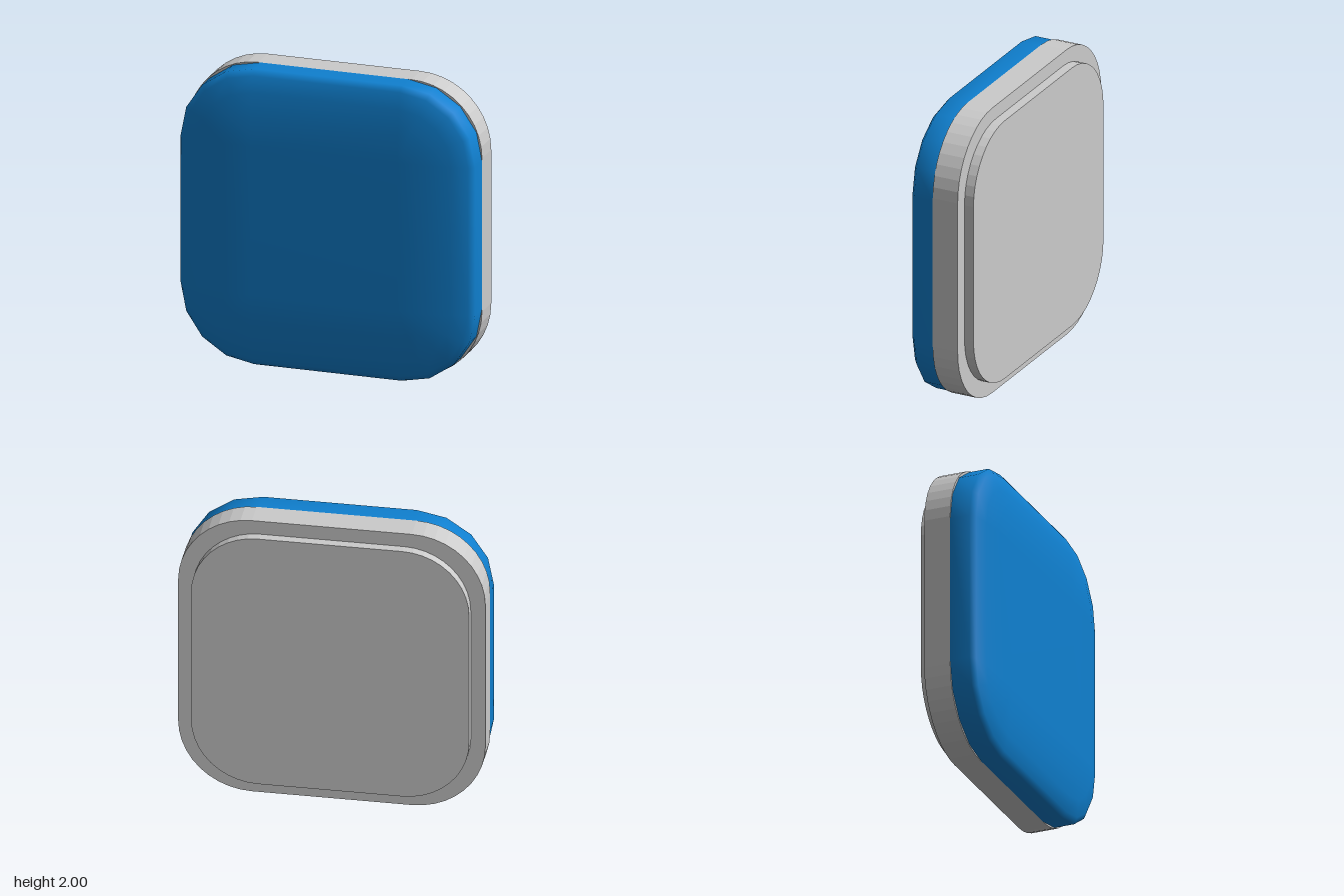
import * as THREE from 'three';
import { mergeVertices } from 'three/addons/utils/BufferGeometryUtils.js';

// Square slab with faceted round corners, from z0 to z1
function slab(name, half, radius, z0, z1, material) {
  const c = half - radius;
  const shape = new THREE.Shape();
  for (let q = 0; q < 4; q++) {
    const cx = q === 0 || q === 3 ? c : -c;
    const cy = q < 2 ? c : -c;
    shape.absarc(cx, cy, radius, q * Math.PI / 2, (q + 1) * Math.PI / 2, false);
  }
  shape.closePath();
  const geometry = new THREE.ExtrudeGeometry(shape, { depth: z1 - z0, bevelEnabled: false, curveSegments: 5 });
  geometry.translate(0, 0, z0);
  const mesh = new THREE.Mesh(geometry, material);
  mesh.name = name;
  return mesh;
}

// Pillow-shaped cover: straight wall, then a shallow elliptical dome edge
function coverGeometry(half, radius, zBack, zRim, zFront, segments) {
  const c = half - radius;
  const rings = [[radius, zBack]];
  for (let k = 0; k <= segments; k++) {
    const a = k / segments * Math.PI / 2;
    rings.push([k === segments ? 0 : radius * Math.cos(a), zRim + (zFront - zRim) * Math.sin(a)]);
  }
  const positions = [], indices = [];
  const count = 4 * (segments + 1);
  for (const [r, z] of rings) {
    for (let q = 0; q < 4; q++) {
      const cx = q === 0 || q === 3 ? c : -c;
      const cy = q < 2 ? c : -c;
      for (let s = 0; s <= segments; s++) {
        const t = (q + s / segments) * Math.PI / 2;
        positions.push(cx + r * Math.cos(t), cy + r * Math.sin(t), z);
      }
    }
  }
  for (let i = 0; i < rings.length - 1; i++) {
    for (let j = 0; j < count; j++) {
      const a = i * count + j, b = i * count + (j + 1) % count;
      indices.push(a, b, b + count, a, b + count, a + count);
    }
  }
  // Flat front face between the four corner centres
  const f = (rings.length - 1) * count, n = segments + 1;
  indices.push(f, f + n, f + 2 * n, f, f + 2 * n, f + 3 * n);
  const geometry = new THREE.BufferGeometry();
  geometry.setAttribute('position', new THREE.Float32BufferAttribute(positions, 3));
  geometry.setIndex(indices);
  const merged = mergeVertices(geometry, 1e-4);
  merged.computeVertexNormals();
  return merged;
}

export function createModel() {
  const model = new THREE.Group();
  model.name = 'roundedButton';
  const grey = new THREE.MeshStandardMaterial({ color: 0xcccccc });
  const blue = new THREE.MeshStandardMaterial({ color: 0x0f80d0 });

  // Housing and the smaller plate behind it
  model.add(slab('housing', 1, 0.48, -0.165, 0.015, grey));
  model.add(slab('backPlate', 0.905, 0.435, -0.23, -0.165, grey));

  // Coloured front cover
  const cover = new THREE.Mesh(coverGeometry(1, 0.5, 0.015, 0.15, 0.23, 4), blue);
  cover.name = 'frontCover';
  model.add(cover);

  for (const part of model.children) part.position.y = 1;
  return model;
}
